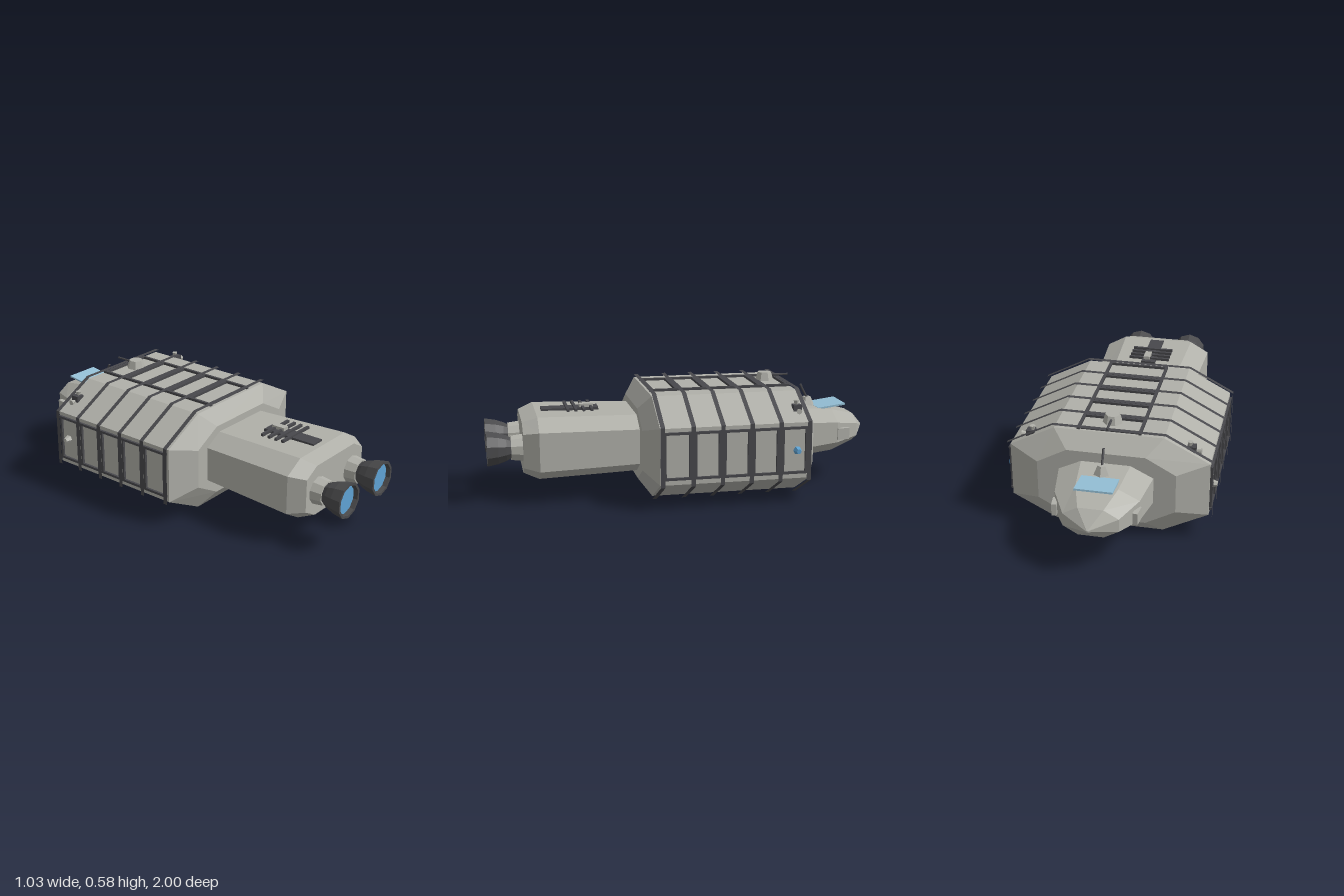
import * as THREE from 'three';

const material = (name, color, side = THREE.FrontSide) => {
  const m = new THREE.MeshStandardMaterial({ color, flatShading: true, side });
  m.name = name;
  return m;
};

// Eight-sided cross-section, counter-clockwise seen from +z
const octagon = ([z, w, flat, bottom, low, high, top]) => [
  [w, low, z], [w, high, z], [flat, top, z], [-flat, top, z],
  [-w, high, z], [-w, low, z], [-flat, bottom, z], [flat, bottom, z],
];

// Skin a list of sections ordered from low z to high z
function loft(sections, caps = true) {
  const rings = sections.map(octagon), pos = [];
  const tri = (...pts) => pts.forEach((p) => pos.push(...p));
  for (let i = 0; i < rings.length - 1; i++) {
    for (let j = 0; j < 8; j++) {
      const k = (j + 1) % 8, a = rings[i], b = rings[i + 1];
      tri(a[j], a[k], b[k]);
      tri(a[j], b[k], b[j]);
    }
  }
  if (caps) {
    const first = rings[0], last = rings[rings.length - 1];
    for (let j = 1; j < 7; j++) {
      tri(first[0], first[j + 1], first[j]);
      tri(last[0], last[j], last[j + 1]);
    }
  }
  const g = new THREE.BufferGeometry();
  g.setAttribute('position', new THREE.Float32BufferAttribute(pos, 3));
  g.computeVertexNormals();
  return g;
}

export function createModel() {
  const ship = new THREE.Group();
  ship.name = 'cargoShip';
  const hull = material('hullGrey', 0xb0b0a9);
  const dark = material('darkMetal', 0x48484c);
  const bell = material('nozzleMetal', 0x4a4a4c, THREE.DoubleSide);
  const blue = material('engineBlue', 0x5fa3d4);
  const glass = material('canopyGlass', 0x94bfd6);

  const add = (name, geo, mat, x = 0, y = 0, z = 0, parent = ship) => {
    const m = new THREE.Mesh(geo, mat);
    m.name = name;
    m.position.set(x, y, z);
    parent.add(m);
    return m;
  };
  const box = (name, mat, w, h, d, x, y, z, parent) =>
    add(name, new THREE.BoxGeometry(w, h, d), mat, x, y, z, parent);
  const rod = (name, from, to, r) => {
    const a = new THREE.Vector3(...from), b = new THREE.Vector3(...to);
    const m = add(name, new THREE.CylinderGeometry(r, r, a.distanceTo(b), 6), dark);
    m.position.copy(a).lerp(b, 0.5);
    m.quaternion.setFromUnitVectors(new THREE.Vector3(0, 1, 0), b.sub(a).normalize());
  };

  // Main hull, engine section and nose
  add('cargoHull', loft([
    [-0.62, 0.335, 0.19, 0.09, 0.17, 0.37, 0.45],
    [-0.55, 0.485, 0.265, 0.015, 0.13, 0.41, 0.525],
    [0.195, 0.485, 0.265, 0.015, 0.13, 0.41, 0.525],
    [0.255, 0.335, 0.19, 0.09, 0.17, 0.37, 0.45],
  ]), hull);
  add('engineSection', loft([
    [0.25, 0.265, 0.17, 0.127, 0.185, 0.36, 0.415],
    [0.75, 0.29, 0.19, 0.115, 0.175, 0.37, 0.427],
    [0.825, 0.24, 0.16, 0.143, 0.187, 0.355, 0.4],
  ]), hull);
  add('nose', loft([
    [-1.0, 0.004, 0.002, 0.266, 0.268, 0.272, 0.274],
    [-0.93, 0.13, 0.06, 0.2, 0.24, 0.305, 0.345],
    [-0.8, 0.2, 0.1, 0.16, 0.225, 0.33, 0.38],
    [-0.61, 0.23, 0.12, 0.142, 0.21, 0.345, 0.4],
  ]), hull);

  // Open bands wrapped around the hull
  const ribs = [-0.545, -0.4, -0.255, -0.11, 0.035, 0.185];
  ribs.forEach((z) => {
    const ring = (dz) => [z + dz, 0.502, 0.272, 0, 0.122, 0.418, 0.54];
    add('hullRib', loft([ring(-0.011), ring(0.011)], false), dark);
  });

  // Rectangular panel frames between the bands
  for (let i = 0; i < ribs.length - 1; i++) {
    const z = (ribs[i] + ribs[i + 1]) / 2, d = ribs[i + 1] - ribs[i];
    for (const s of [-1, 1]) {
      box('topFrameRail', dark, 0.014, 0.014, d, s * 0.148, 0.53, z);
      box('topFrameBar', dark, 0.3, 0.014, 0.012, 0, 0.53, z + s * (d / 2 - 0.013));
      for (const y of [0.161, 0.385])
        box('sideFrameRail', dark, 0.014, 0.012, d, s * 0.49, y, z);
      for (const e of [-1, 1])
        box('sideFramePost', dark, 0.014, 0.23, 0.012, s * 0.49, 0.271, z + e * (d / 2 - 0.013));
    }
  }

  // Engines
  const bellProfile = [[0.05, 0.875], [0.066, 0.905], [0.08, 0.945], [0.09, 1.0],
    [0.077, 1.0], [0.074, 0.975]].map(([r, z]) => new THREE.Vector2(r, z));
  for (const x of [-0.147, 0.147]) {
    const engine = new THREE.Group();
    engine.name = 'engine';
    engine.position.set(x, 0.27, 0);
    engine.rotation.x = Math.PI / 2;
    ship.add(engine);
    add('engineCollar', new THREE.CylinderGeometry(0.062, 0.07, 0.065, 10), hull, 0, 0.85, 0, engine);
    add('engineBell', new THREE.LatheGeometry(bellProfile, 10), bell, 0, 0, 0, engine);
    add('engineGlow', new THREE.CylinderGeometry(0.075, 0.075, 0.006, 10), blue, 0, 0.975, 0, engine);
  }

  // Radiator on top of the engine section
  box('radiatorSpine', dark, 0.075, 0.014, 0.29, 0, 0.428, 0.575);
  for (const z of [0.47, 0.51, 0.55, 0.59])
    box('radiatorBar', dark, 0.22, 0.013, 0.014, 0, 0.437, z);
  box('radiatorPump', hull, 0.035, 0.022, 0.07, 0.012, 0.441, 0.49);

  // Canopy plate and nose vents
  box('canopy', glass, 0.18, 0.009, 0.15, 0, 0.394, -0.802).rotation.x = 0.13;
  for (const s of [-1, 1]) {
    box('noseVent', hull, 0.024, 0.06, 0.065, s * 0.193, 0.27, -0.83).rotation.y = s * 0.12;
  }

  // Antenna mount and dorsal turret
  add('antennaMount', new THREE.CylinderGeometry(0.022, 0.042, 0.045, 6), hull, 0, 0.412, -0.692);
  rod('antenna', [0, 0.425, -0.695], [0, 0.502, -0.655], 0.006);
  add('turret', new THREE.CylinderGeometry(0.036, 0.049, 0.042, 7), hull, 0, 0.556, -0.455);
  rod('turretBarrel', [0, 0.56, -0.48], [0, 0.56, -0.582], 0.006);

  // Manoeuvring thrusters and side lamps
  const cone = new THREE.CylinderGeometry(0.014, 0.007, 0.026, 8);
  for (const s of [-1, 1]) {
    box('thrusterBlock', dark, 0.042, 0.036, 0.042, s * 0.39, 0.462, -0.51);
    add('thrusterUp', cone, hull, s * 0.382, 0.487, -0.51);
    add('thrusterOut', cone, hull, s * 0.425, 0.453, -0.51).rotation.z = -s * Math.PI / 2;
    add('sideLamp', new THREE.CylinderGeometry(0.012, 0.022, 0.032, 6), s > 0 ? blue : hull,
      s * 0.499, 0.271, -0.488).rotation.z = -s * Math.PI / 2;
  }
  return ship;
}
